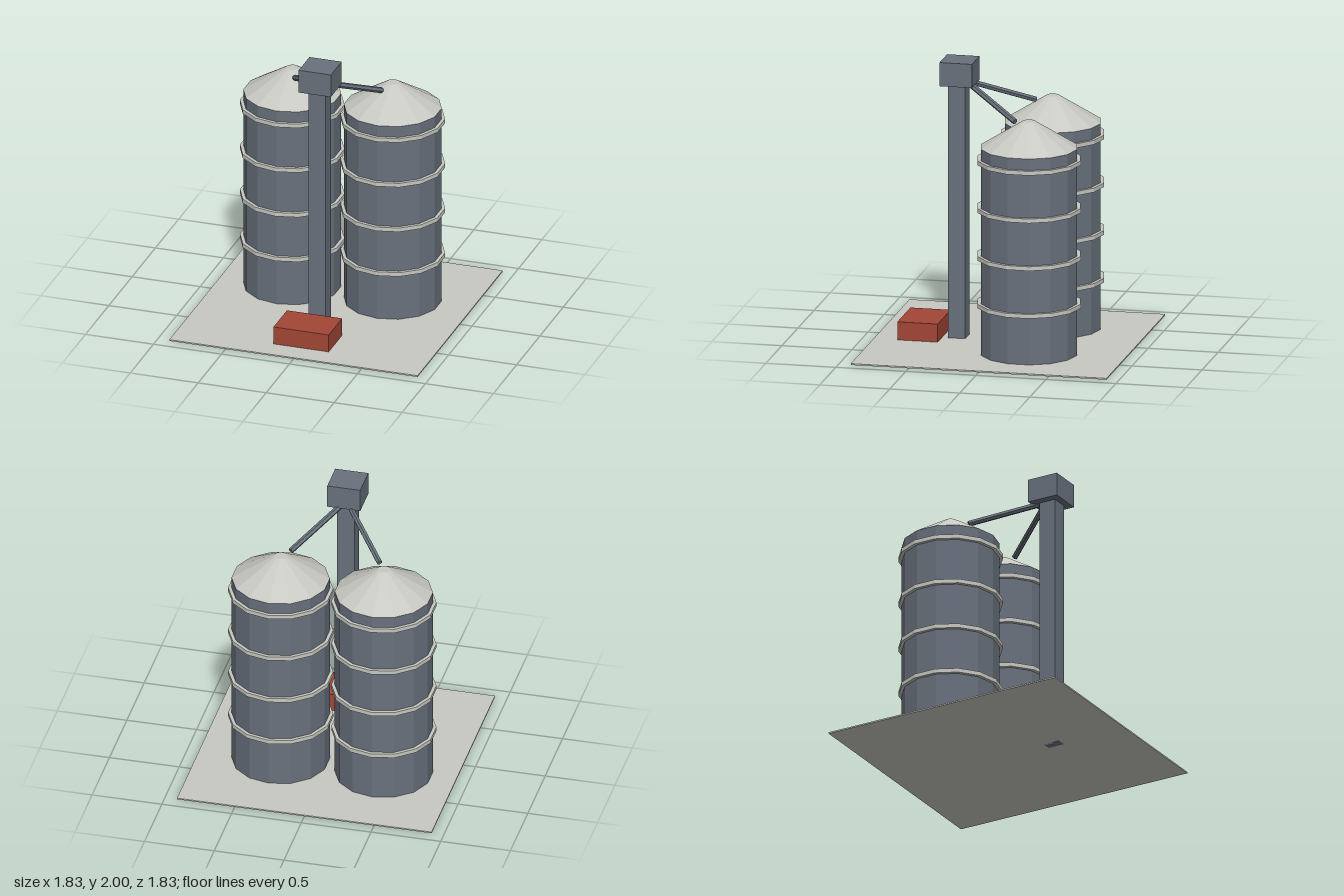
import * as THREE from 'three';

const flat = (name, hex) => {
  const m = new THREE.MeshStandardMaterial({ color: hex, flatShading: true });
  m.name = name;
  return m;
};

export function createModel() {
  const steel = flat('blue grey steel', 0x69717d);
  const pale = flat('pale galvanised', 0xc8c8c2);
  const red = flat('rust red', 0xa24636);
  const root = new THREE.Group();
  root.name = 'grainSilos';

  const add = (parent, name, geometry, material, x, y, z) => {
    const mesh = new THREE.Mesh(geometry, material);
    mesh.name = name;
    mesh.position.set(x, y, z);
    parent.add(mesh);
    return mesh;
  };
  // Box given by its bottom and top heights
  const block = (name, material, w, d, y0, y1, x, z) =>
    add(root, name, new THREE.BoxGeometry(w, y1 - y0, d), material, x, (y0 + y1) / 2, z);

  // Ground slab
  block('slab', pale, 1.826, 1.826, 0, 0.01, 0, 0);

  // Two fourteen-sided silos with hoops and conical roofs
  const sides = 14;
  const radius = 0.342;
  for (const [name, x] of [['rightSilo', -0.4], ['leftSilo', 0.34]]) {
    const silo = new THREE.Group();
    silo.name = name;
    silo.position.set(x, 0, -0.228);
    root.add(silo);
    add(silo, 'wall', new THREE.CylinderGeometry(radius, radius, 1.485, sides), steel, 0, 0.7475, 0);
    add(silo, 'roof', new THREE.CylinderGeometry(0.045, radius, 0.185, sides), pale, 0, 1.5825, 0);
    for (let i = 0; i < 4; i++) {
      add(silo, 'hoop', new THREE.CylinderGeometry(0.366, 0.366, 0.03, sides), pale, 0, 0.364 + i * 0.343, 0);
    }
  }

  // Bucket elevator: leg, head and intake pit
  block('elevatorLeg', steel, 0.125, 0.123, 0, 1.84, 0.002, 0.352);
  block('elevatorHead', steel, 0.237, 0.231, 1.83, 2, 0.002, 0.346);
  block('intakeHopper', red, 0.406, 0.288, 0.002, 0.14, -0.002, 0.6);

  // Spouts running from the head down to each roof
  const start = new THREE.Vector3(0, 1.853, 0.306);
  for (const x of [-0.342, 0.295]) {
    const end = new THREE.Vector3(x, 1.653, -0.118);
    const dir = end.clone().sub(start);
    const mid = start.clone().add(end).multiplyScalar(0.5);
    const spout = add(root, 'spout', new THREE.CylinderGeometry(0.021, 0.021, dir.length(), 6), steel, mid.x, mid.y, mid.z);
    spout.quaternion.setFromUnitVectors(new THREE.Vector3(0, 1, 0), dir.normalize());
  }

  return root;
}
